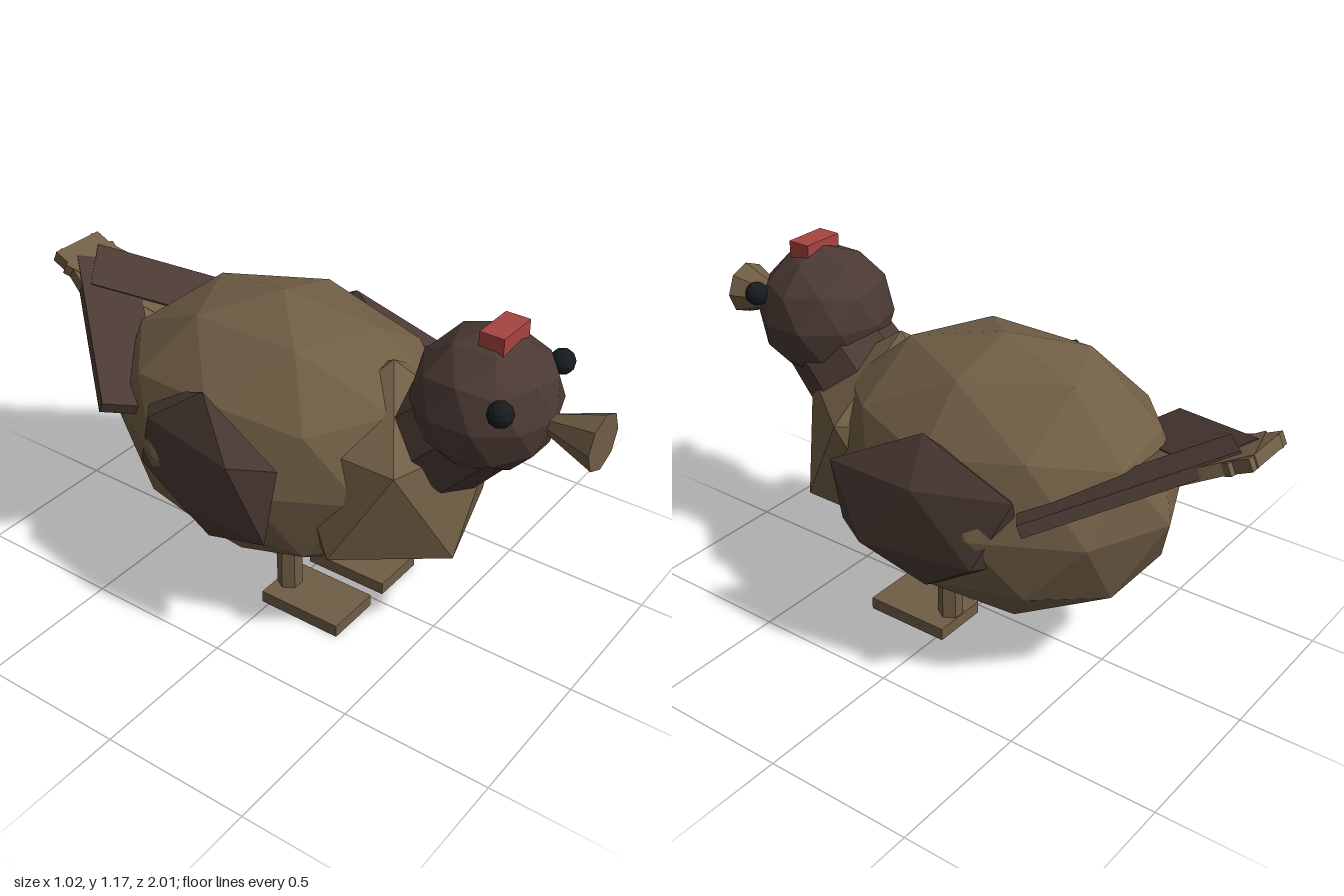
import * as THREE from 'three';

const mat = (name, color) => {
  const m = new THREE.MeshStandardMaterial({ color, flatShading: true });
  m.name = name;
  return m;
};

// Faceted ball with its poles on the y axis
function ball(radius, detail) {
  const g = new THREE.IcosahedronGeometry(radius, detail);
  g.rotateX(-Math.atan((1 + Math.sqrt(5)) / 2));
  g.rotateY(Math.PI / 2);
  return g;
}

export function createModel() {
  const model = new THREE.Group();
  model.name = 'bird';
  const tan = mat('tan', 0x705e45);
  const brown = mat('darkBrown', 0x4b3a34);
  const red = mat('red', 0xa84441);
  const black = mat('black', 0x161b1d);

  function add(name, geometry, material, x, y, z, parent = model) {
    const mesh = new THREE.Mesh(geometry, material);
    mesh.name = name;
    mesh.position.set(x, y, z);
    parent.add(mesh);
    return mesh;
  }

  // Body and chest
  add('body', ball(1, 1).scale(0.46, 0.46, 0.61), tan, 0, 0.59, -0.1);
  add('chest', ball(1, 0).scale(0.375, 0.375, 0.355), tan, 0, 0.565, 0.31);

  // Neck leaning forward into the head
  const neck = add('neck', new THREE.CylinderGeometry(0.17, 0.185, 0.24, 8), brown, 0, 0.815, 0.565);
  neck.rotation.x = Math.PI / 4;
  add('head', ball(0.225, 1), brown, 0, 0.93, 0.63);

  // Beak, widening towards the front
  const beak = new THREE.ConeGeometry(0.09, 0.25, 8).rotateX(-Math.PI / 2);
  add('beak', beak, tan, 0, 0.915, 0.875);
  add('comb', new THREE.BoxGeometry(0.146, 0.055, 0.08), red, 0, 1.147, 0.67);

  // Paired parts
  for (const [side, s] of [['left', 1], ['right', -1]]) {
    add(side + 'Eye', ball(0.04, 1), black, s * 0.177, 1.01, 0.77);
    const wing = add(side + 'Wing', ball(1, 0).scale(0.1, 0.265, 0.355), brown, s * 0.4, 0.61, -0.1);
    wing.rotation.y = s * 0.2;
    const leg = new THREE.CylinderGeometry(0.042, 0.042, 0.22, 6).rotateY(Math.PI / 2);
    add(side + 'Leg', leg, tan, s * 0.133, 0.13, 0.015);
    add(side + 'Foot', new THREE.BoxGeometry(0.196, 0.043, 0.3), tan, s * 0.133, 0.0215, 0.125);
  }

  // Tail: five flat feathers in one tilted plane, meeting at the rear
  const tail = new THREE.Group();
  tail.name = 'tail';
  tail.position.set(0, 0.477, 0);
  tail.rotation.x = 0.44;
  model.add(tail);
  for (let i = -2; i <= 2; i++) {
    const outer = Math.abs(i) === 2;
    const feather = add('tailFeather', new THREE.BoxGeometry(0.2, 0.04, 0.65), outer ? brown : tan,
      i * 0.085, outer ? 0.002 * Math.sign(i) : -0.006 + 0.001 * i, -0.77 + 0.011 * i * i, tail);
    feather.rotation.y = i * 0.33;
  }

  return model;
}
